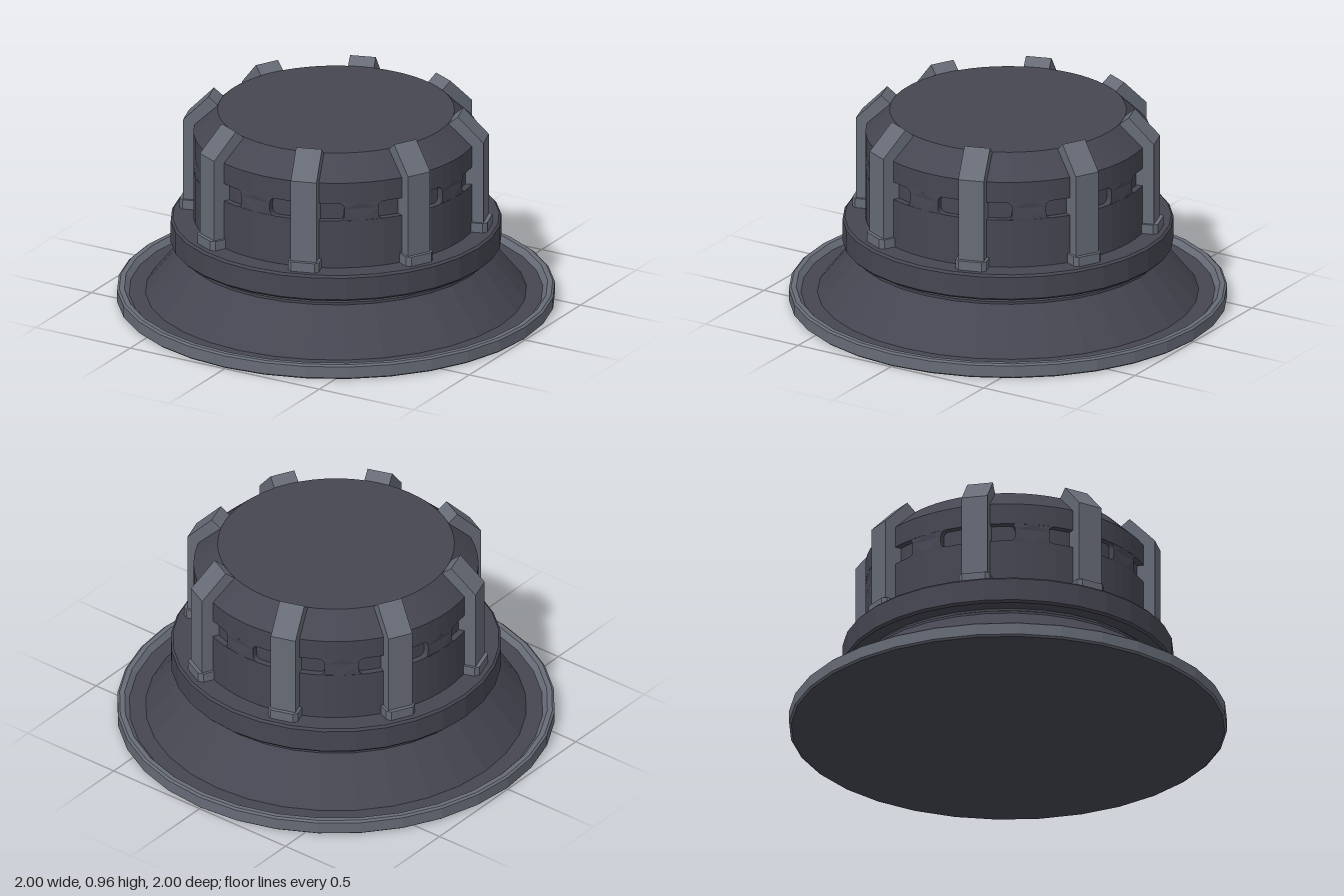
import * as THREE from 'three';

const dark = new THREE.MeshStandardMaterial({ color: 0x454651, flatShading: true });
const light = new THREE.MeshStandardMaterial({ color: 0x666b76, flatShading: true });

const WALL = 0.65, GROOVE = 0.62;      // drum radius and slot floor radius
const SLOT_LOW = 0.64, SLOT_HIGH = 0.725;
const COUNT = 8, STEP = (Math.PI * 2) / COUNT;
const FIRST = THREE.MathUtils.degToRad(18.3);

function add(parent, name, geometry, material) {
  const mesh = new THREE.Mesh(geometry, material);
  mesh.name = name;
  parent.add(mesh);
  return mesh;
}

function turned(points, sides) {
  return new THREE.LatheGeometry(points.map(([r, y]) => new THREE.Vector2(r, y)), sides);
}

function polygon(points) {
  return new THREE.Shape(points.map(([x, y]) => new THREE.Vector2(x, y)));
}

// Wall piece between two slots: waisted so that the slots get rounded ends, then bent round the drum
function slotDivider() {
  const a = 0.079, r = 0.028;
  const s = new THREE.Shape();
  s.moveTo(-a - r, SLOT_LOW);
  s.lineTo(0, SLOT_LOW);
  s.lineTo(a + r, SLOT_LOW);
  s.quadraticCurveTo(a, SLOT_LOW, a, SLOT_LOW + r);
  s.lineTo(a, SLOT_HIGH - r);
  s.quadraticCurveTo(a, SLOT_HIGH, a + r, SLOT_HIGH);
  s.lineTo(0, SLOT_HIGH);
  s.lineTo(-a - r, SLOT_HIGH);
  s.quadraticCurveTo(-a, SLOT_HIGH, -a, SLOT_HIGH - r);
  s.lineTo(-a, SLOT_LOW + r);
  s.quadraticCurveTo(-a, SLOT_LOW, -a - r, SLOT_LOW);
  const g = new THREE.ExtrudeGeometry(s, { depth: WALL - GROOVE, bevelEnabled: false, curveSegments: 5 });
  const p = g.attributes.position;
  for (let i = 0; i < p.count; i++) {
    const angle = p.getX(i) / WALL, radius = GROOVE + p.getZ(i);
    p.setXYZ(i, Math.sin(angle) * radius, p.getY(i), Math.cos(angle) * radius);
  }
  g.computeVertexNormals();
  return g;
}

// Upright rib whose top leans in over the chamfer of the drum
function ribGeometry() {
  const width = 0.12;
  const side = polygon([
    [0.61, 0.41], [0.70, 0.41], [0.70, 0.845], [0.582, 0.965], [0.54, 0.93], [0.53, 0.91], [0.61, 0.82],
  ]);
  const g = new THREE.ExtrudeGeometry(side, { depth: width, bevelEnabled: false });
  return g.translate(0, 0, -width / 2).rotateY(-Math.PI / 2);
}

// Low foot with clipped outer corners
function footGeometry() {
  const w = 0.072, c = 0.018, back = 0.63, front = 0.718;
  const plan = polygon([
    [-w, -back], [-w, -front + c], [-w + c, -front], [w - c, -front], [w, -front + c], [w, -back],
  ]);
  const g = new THREE.ExtrudeGeometry(plan, { depth: 0.05, bevelEnabled: false });
  return g.rotateX(-Math.PI / 2).translate(0, 0.405, 0);
}

export function createModel() {
  const model = new THREE.Group();
  model.name = 'ribbedDrumOnFlange';

  // Base: underside, raised rim, sloped skirt and collar
  add(model, 'underside', turned([[0, 0], [0.99, 0]], 32), dark);
  add(model, 'rim', turned([
    [0.99, 0], [1, 0.008], [1, 0.062], [0.99, 0.07], [0.967, 0.07], [0.945, 0.045],
  ], 32), light);
  add(model, 'skirt', turned([
    [0.945, 0.045], [0.87, 0.045], [0.705, 0.25], [0.705, 0.262], [0.68, 0.275], [0.68, 0.29],
  ], 32), dark);
  add(model, 'collar', turned([
    [0.67, 0.285], [0.745, 0.285], [0.755, 0.295], [0.755, 0.4], [0.745, 0.41], [0.64, 0.41],
  ], 32), dark);

  // Drum with a groove that the dividers split into slots
  add(model, 'drum', turned([
    [WALL, 0.405], [WALL, SLOT_LOW], [GROOVE, SLOT_LOW], [GROOVE, SLOT_HIGH],
    [WALL, SLOT_HIGH], [WALL, 0.825], [0.54, 0.93], [0, 0.93],
  ], 64), dark);

  // Ribs with feet, each centred over a slot
  const divider = slotDivider(), rib = ribGeometry(), foot = footGeometry();
  for (let i = 0; i < COUNT; i++) {
    const clamp = new THREE.Group();
    clamp.name = 'clamp' + (i + 1);
    clamp.rotation.y = FIRST + i * STEP;
    add(clamp, 'rib', rib, light);
    add(clamp, 'foot', foot, light);
    add(clamp, 'slotDivider', divider, dark).rotation.y = STEP / 2;
    model.add(clamp);
  }
  return model;
}
